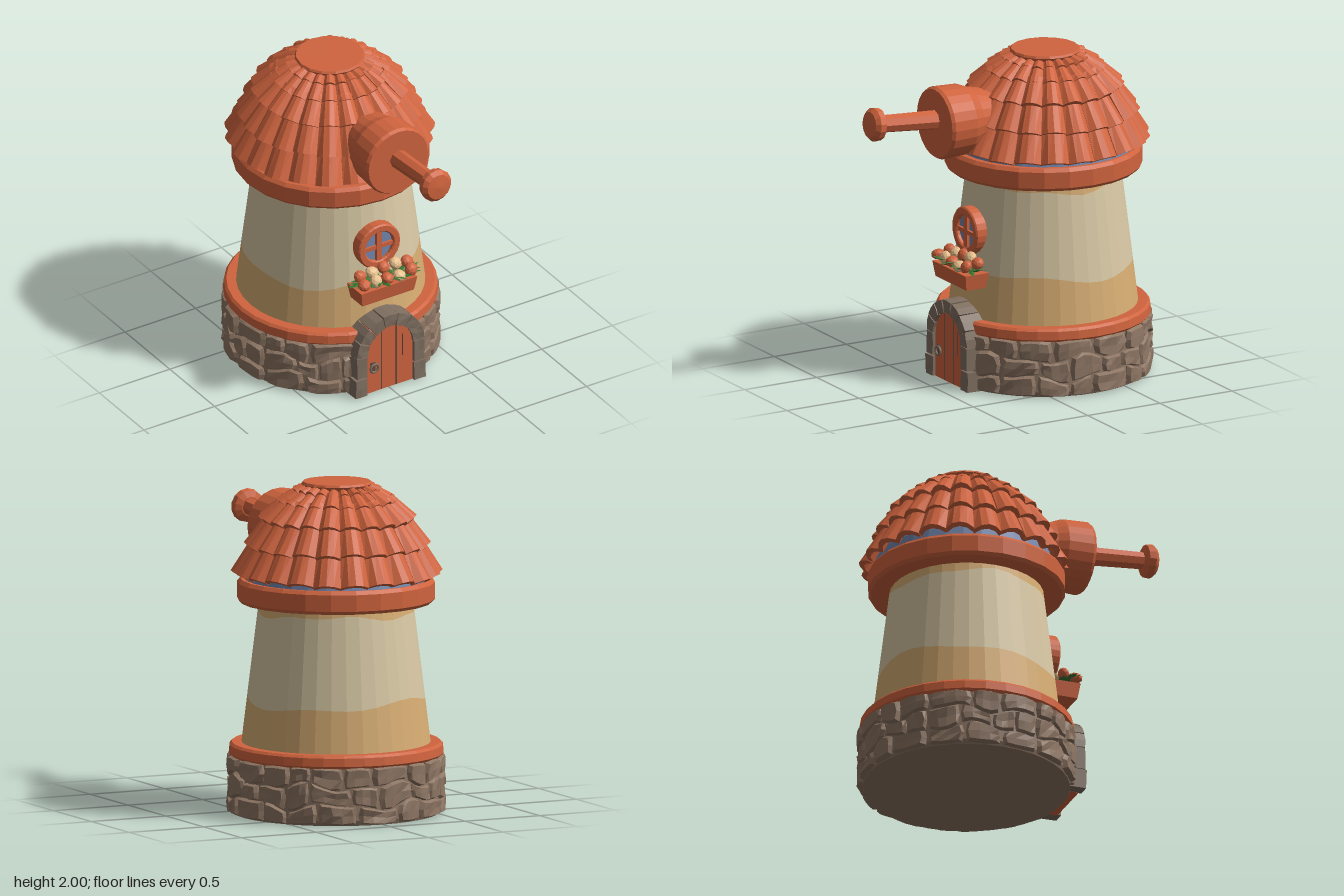
import * as THREE from 'three';
import { mergeGeometries } from 'three/addons/utils/BufferGeometryUtils.js';

const mat = (name, color) => {
  const m = new THREE.MeshStandardMaterial({ color });
  m.name = name;
  return m;
};

// repeatable pseudo-random value from a seed
const rnd = (n) => { const s = Math.sin(n * 127.1 + 11.7) * 43758.5453; return s - Math.floor(s); };
const lerp = THREE.MathUtils.lerp;

// faceted copy of a geometry
function flat(g) {
  const f = g.index ? g.toNonIndexed() : g;
  f.computeVertexNormals();
  return f;
}

// move every vertex by a rule, then facet
function warp(g, rule) {
  const p = g.attributes.position, v = new THREE.Vector3();
  for (let i = 0; i < p.count; i++) {
    v.fromBufferAttribute(p, i);
    p.setXYZ(i, ...rule(v.x, v.y, v.z));
  }
  return flat(g);
}

const lathe = (pts, sides) => flat(new THREE.LatheGeometry(pts.map((p) => new THREE.Vector2(...p)), sides));
const polar = (a, r, y) => [Math.sin(a) * r, y, Math.cos(a) * r];

// small irregular offset that agrees for coincident vertices
const wobble = (seed, x, y, z) => rnd(seed * 3.7 + Math.round(x * 6) * 1.3 + Math.round(y * 6) * 2.9 + Math.round(z * 4) * 5.3) - 0.5;

export function createModel() {
  const model = new THREE.Group();
  model.name = 'tower';
  const terracotta = mat('terracotta', 0xd0643e);
  const cream = mat('cream plaster', 0xd9c9a5);
  const tan = mat('tan plaster', 0xd8ae74);
  const stone = mat('stone', 0x8f7765);
  const archStone = mat('arch stone', 0x7f6f61);
  const blue = mat('blue', 0x7488b0);
  const green = mat('leaf green', 0x3b7a35);
  const peach = mat('peach petals', 0xefc590);
  const iron = mat('dark iron', 0x5b4a40);

  const add = (name, geo, material, parent = model) => {
    const m = new THREE.Mesh(geo, material);
    m.name = name;
    parent.add(m);
    return m;
  };

  const body = new THREE.Group();
  body.name = 'towerBody';
  body.position.z = -0.28;
  model.add(body);

  // rubble base: solid core with rows of irregular stones
  add('baseCore', lathe([[0, 0], [0.62, 0], [0.632, 0.03], [0.625, 0.35], [0, 0.35]], 40), stone, body);
  const stones = [];
  const rows = [0.005, 0.115, 0.235, 0.352];
  const course = (k, a) => rows[k] + (k === 1 || k === 2 ? 0.022 * Math.sin(a * 7 + k * 2) + 0.015 * Math.sin(a * 13 + k) : 0);
  for (let k = 0; k < 3; k++) {
    let a = 0.27, n = 0;
    const end = Math.PI * 2 - 0.27;
    while (a < end - 0.01) {
      const seed = k * 50 + n++;
      let w = 0.2 + 0.22 * rnd(seed);
      if (end - a - w < 0.17) w = end - a;
      const a0 = a, bulge = 0.648 + 0.012 * rnd(seed + 9);
      stones.push(warp(new THREE.BoxGeometry(1, 1, 1, 3, 2, 2), (x, y, z) => {
        const s = z > 0.4 ? 0.8 : 0.97;
        const corner = Math.abs(x) > 0.4 && Math.abs(y) > 0.4 ? 0.9 : 1;
        const u = 0.5 + x * s * corner + 0.06 * wobble(seed, x, y, z) * (z > 0.4 ? 1 : 0.3);
        const v = 0.5 + y * s * corner;
        const ang = a0 + w * u;
        const r = (z > 0.4 ? bulge : z > -0.1 ? 0.632 : 0.58) + 0.016 * wobble(seed + 5, x, y, z);
        return polar(ang, Math.min(r, 0.658), lerp(course(k, ang), course(k + 1, ang), v));
      }));
      a += w;
    }
  }
  add('baseStones', mergeGeometries(stones), stone, body);
  add('baseRing', lathe([[0.54, 0.343], [0.63, 0.345], [0.645, 0.36], [0.64, 0.41], [0.625, 0.425], [0.54, 0.425]], 32), terracotta, body);

  // tapered plaster wall in three bands with uneven borders
  const wallR = (y) => lerp(0.567, 0.462, (y - 0.42) / 0.86);
  const lowEdge = (a) => 0.69 + 0.022 * Math.sin(2 * a + 0.6) + 0.014 * Math.sin(5 * a + 2.5);
  const highEdge = (a) => 1.222 + 0.014 * Math.sin(3 * a) + 0.01 * Math.sin(7 * a);
  const band = (name, lo, hi, material) => add(name, warp(new THREE.CylinderGeometry(1, 1, 1, 36, 1, true), (x, y, z) => {
    const a = Math.atan2(x, z), h = y < 0 ? lo(a) : hi(a);
    return polar(a, wallR(h), h);
  }), material, body);
  band('wallLower', () => 0.4, lowEdge, tan);
  band('wallMiddle', lowEdge, highEdge, cream);
  band('wallUpper', highEdge, () => 1.29, tan);

  // roof: eaves ring, inner dome, five courses of arched tiles, cap
  add('eavesRing', lathe([[0.44, 1.27], [0.575, 1.27], [0.593, 1.29], [0.593, 1.39], [0.575, 1.412], [0.4, 1.415]], 24), terracotta, body);
  const roof = new THREE.Group();
  roof.name = 'roof';
  roof.position.z = -0.29;
  model.add(roof);
  add('roofLining', lathe([[0.555, 1.4], [0.54, 1.47], [0.45, 1.65], [0.3, 1.85], [0, 1.93]], 32), blue, roof);
  const courses = [
    [0.592, 1.435, 0.475, 1.66], [0.527, 1.605, 0.40, 1.80], [0.445, 1.76, 0.31, 1.90],
    [0.345, 1.87, 0.235, 1.95], [0.255, 1.935, 0.17, 1.975]];
  const count = 22;
  courses.forEach(([r0, y0, r1, y1], k) => {
    const len = Math.hypot(r0 - r1, y1 - y0);
    const nr = (y1 - y0) / len, ny = (r0 - r1) / len;
    const arch = 0.045 * Math.sqrt(r0 / 0.6), thick = k > 2 ? 0.025 : 0.035;
    const tiles = [];
    for (let i = 0; i < count; i++) {
      const seed = k * 40 + i, mid = (i / count) * Math.PI * 2, half = Math.PI / count;
      const lift = 0.014 * (rnd(seed) - 0.5), drop = 0.06 * (rnd(seed + 7) - 0.5);
      tiles.push(warp(new THREE.BoxGeometry(2, 1, 1, 4, 1, 1), (x, y, z) => {
        const v = y < 0 ? drop : 1;
        const out = arch * (1 - x * x) * (y < 0 ? 1 : 0.5) - 0.012 + lift + (z - 0.5) * thick + 0.012;
        return polar(mid + x * half, lerp(r0, r1, v) + nr * out, lerp(y0, y1, v) + ny * out);
      }));
    }
    add('tileCourse' + (k + 1), mergeGeometries(tiles), terracotta, roof);
  });
  add('roofCap', lathe([[0.17, 1.95], [0.2, 1.965], [0.213, 1.985], [0.205, 1.998], [0, 2]], 16), terracotta, roof);

  // hub and shaft facing forward
  const along = (pts, sides) => lathe(pts, sides).rotateX(Math.PI / 2);
  const hub = new THREE.Group();
  hub.name = 'hub';
  hub.position.y = 1.638;
  model.add(hub);
  add('hubDrum', along([[0.13, -0.1], [0.155, 0.08], [0.17, 0.15], [0.19, 0.24], [0.215, 0.3], [0.222, 0.455], [0.21, 0.475], [0, 0.475]], 24), terracotta, hub);
  const shaft = new THREE.Group();
  shaft.name = 'shaft';
  shaft.position.set(0, 0.022, 0.46);
  shaft.rotation.x = -0.08;
  hub.add(shaft);
  add('shaftRod', along([[0.06, -0.03], [0.054, 0.41]], 8), terracotta, shaft);
  add('shaftKnob', along([[0, 0.385], [0.06, 0.388], [0.098, 0.405], [0.103, 0.445], [0.08, 0.47], [0, 0.478]], 14), terracotta, shaft);

  // doorway: arched leaf, stone jambs and wedge stones
  const door = new THREE.Group();
  door.name = 'doorway';
  model.add(door);
  const leaf = new THREE.Shape();
  leaf.moveTo(-0.175, 0.003).lineTo(0.175, 0.003).lineTo(0.175, 0.27);
  leaf.absarc(0, 0.27, 0.175, 0, Math.PI, false);
  const leafGeo = new THREE.ExtrudeGeometry(leaf, { depth: 0.1, bevelEnabled: false, curveSegments: 14 });
  add('doorLeaf', leafGeo.translate(0, 0, 0.272), terracotta, door);
  for (const [x, y, h] of [[-0.055, 0.215, 0.42], [0.05, 0.215, 0.42], [0.095, 0.27, 0.15]]) {
    add('doorSeam', new THREE.BoxGeometry(0.006, h, 0.006).translate(x, y, 0.372), iron, door);
  }
  add('handlePlate', new THREE.BoxGeometry(0.03, 0.06, 0.008).translate(-0.115, 0.18, 0.375), iron, door);
  add('handleRing', new THREE.TorusGeometry(0.027, 0.008, 6, 12).translate(-0.112, 0.175, 0.386), archStone, door);
  const frame = [];
  const block = (seed, place) => frame.push(warp(new THREE.BoxGeometry(1, 1, 1, 2, 2, 1), (x, y, z) => {
    const s = z > 0 ? 0.93 : 0.98;
    const [px, py] = place(x * s, y * s);
    return [px, py, z > 0 ? 0.392 + 0.008 * wobble(seed, x, y, z) : 0.22];
  }));
  for (const side of [-1, 1]) {
    [[0, 0.13, 0.25], [0.13, 0.28, 0.24]].forEach(([lo, hi, outer], i) =>
      block(i + side * 4, (x, y) => [side * lerp(0.163, outer, 0.5 + x * side), lerp(lo, hi, 0.5 + y)]));
  }
  for (let i = 0; i < 7; i++) {
    block(20 + i, (x, y) => {
      const a = ((i + 0.5 - x) / 7) * Math.PI, r = 0.2 + y * 0.083 + (i === 3 ? 0.004 : 0);
      return [Math.cos(a) * r, 0.275 + Math.sin(a) * r];
    });
  }
  add('doorFrame', mergeGeometries(frame), archStone, door);

  // round window with crossed bars
  const win = new THREE.Group();
  win.name = 'roundWindow';
  win.position.set(0, 0.933, 0);
  model.add(win);
  const rim = new THREE.Shape().absarc(0, 0, 0.14, 0, Math.PI * 2);
  rim.holes.push(new THREE.Path().absarc(0, 0, 0.106, 0, Math.PI * 2, true));
  const rimGeo = new THREE.ExtrudeGeometry(rim, { depth: 0.09, bevelSize: 0.008, bevelThickness: 0.008, bevelSegments: 1, curveSegments: 12 });
  add('windowRim', rimGeo.translate(0, 0, 0.172), terracotta, win);
  add('windowGlass', new THREE.CircleGeometry(0.115, 24).translate(0, 0, 0.245), blue, win);
  add('windowBarUpright', new THREE.BoxGeometry(0.036, 0.22, 0.03).translate(0, 0, 0.248), terracotta, win);
  add('windowBarCross', new THREE.BoxGeometry(0.22, 0.026, 0.024).translate(0, -0.005, 0.248), terracotta, win);

  // flower box with blooms and leaves
  const planter = new THREE.Group();
  planter.name = 'flowerBox';
  model.add(planter);
  add('planterBox', warp(new THREE.BoxGeometry(1, 1, 1), (x, y, z) =>
    [x * (y > 0 ? 0.395 : 0.365), 0.668 + y * 0.095, z > 0 ? (y > 0 ? 0.376 : 0.362) : 0.2]), terracotta, planter);
  for (let i = 0; i < 10; i++) {
    const x = -0.165 + (i % 5) * 0.083, back = i > 4;
    const bloom = add('bloom', flat(new THREE.IcosahedronGeometry(0.042, 1)), (i + (back ? 1 : 0)) % 2 ? peach : terracotta, planter);
    bloom.position.set(x + (back ? 0.015 : 0), (back ? 0.785 : 0.757) + 0.02 * (rnd(i) - 0.5), back ? 0.285 : 0.355);
    bloom.scale.set(1, 0.75, 0.95);
    bloom.rotation.set(rnd(i + 3), rnd(i + 5) * 3, 0.2);
  }
  for (let i = 0; i < 26; i++) {
    const a = (i / 26) * Math.PI * 2;
    const blade = add('leaf', flat(new THREE.OctahedronGeometry(1, 0)), green, planter);
    blade.scale.set(0.06, 0.007, 0.02);
    blade.position.set(Math.cos(a) * 0.195, 0.728 + 0.03 * rnd(i + 2), 0.315 + Math.sin(a) * 0.06);
    blade.rotation.set(0.5 * (rnd(i) - 0.5), -a + 0.5 * (rnd(i + 8) - 0.5), 0.5 * (rnd(i + 4) - 0.4), 'YXZ');
  }
  return model;
}
